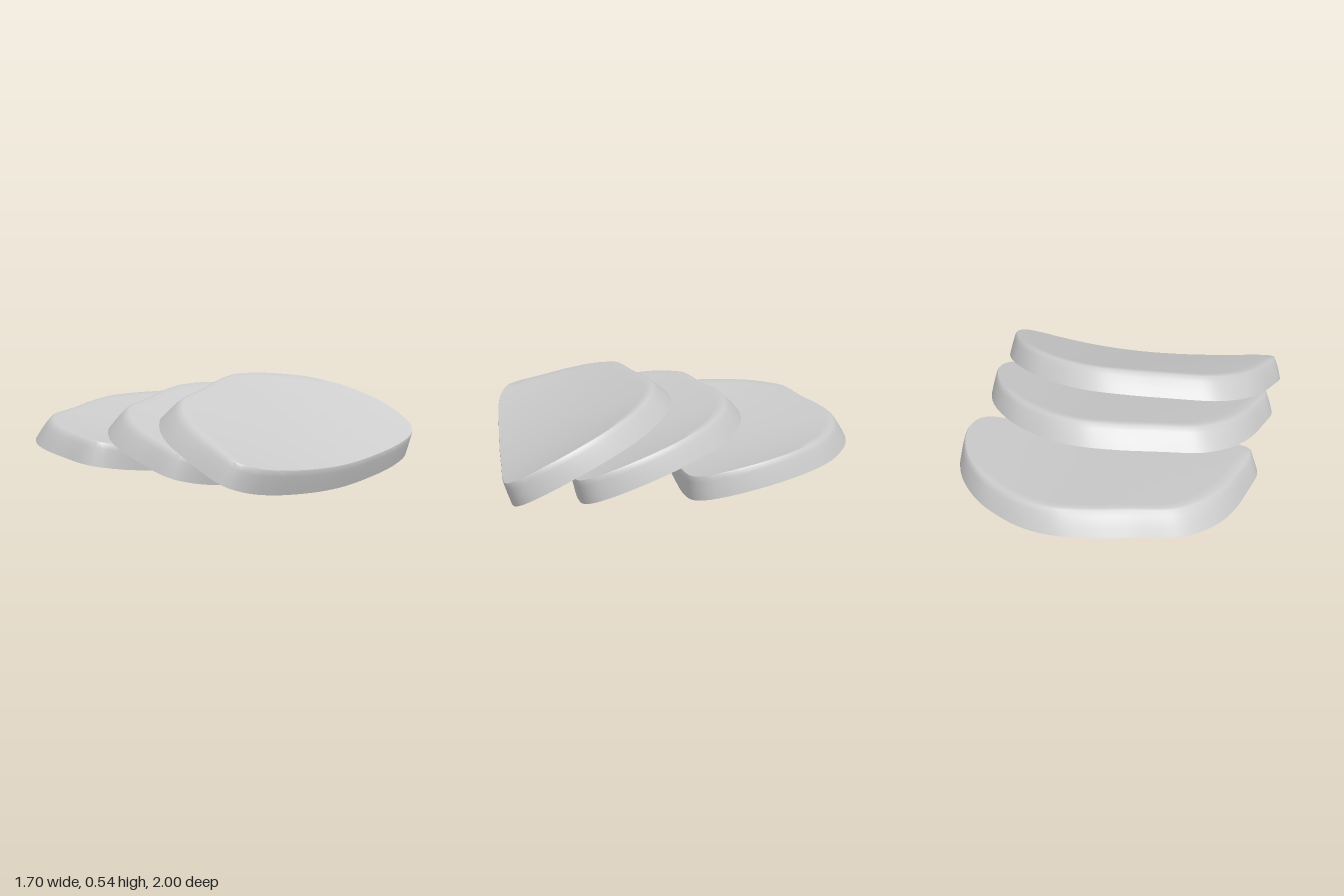
import * as THREE from 'three';
import { toCreasedNormals } from 'three/addons/utils/BufferGeometryUtils.js';

const SIDES = 112;
const THICK = 0.138;

// Slice outline seen flat: [x, distance back from the straight front edge]
const OUTLINE = [
  [0.12, 1.04], [0.3, 1.015], [0.46, 0.945], [0.6, 0.85], [0.74, 0.68], [0.82, 0.49],
  [0.845, 0.34], [0.84, 0.23], [0.81, 0.135], [0.74, 0.07], [0.6, 0.035], [0.3, 0.012],
  [0, 0], [-0.35, 0.007], [-0.6, 0.022], [-0.74, 0.05], [-0.825, 0.1], [-0.85, 0.16],
  [-0.82, 0.36], [-0.78, 0.54], [-0.72, 0.68], [-0.63, 0.795], [-0.53, 0.87],
  [-0.3, 0.94], [-0.08, 1.01],
];

// Cross-section from bottom centre, round the rim, to top centre:
// [scale about the centre, share of the inset, share of the thickness]
const SECTION = [
  [0, 0, 0], [0.25, 0, 0], [0.5, 0, 0], [0.75, 0, 0], [0.92, 0, 0], [1, 0, 0],
  [1, 0.3, 0.38], [1, 0.65, 0.75], [1, 0.9, 0.95], [1, 1.1, 1],
  [0.92, 1.1, 1], [0.7, 1.1, 1], [0.45, 1.1, 1], [0.2, 1.1, 1], [0, 1.1, 1],
];

// Both ends cup upward: the left end flattens toward the back, the right does not
function lift(x, u) {
  const d = x - 0.12;
  return d < 0
    ? 0.108 * (-d / 0.95) ** 1.8 * (1 - 1.05 * u)
    : 0.07 * (d / 0.72) ** 2.1 * (1 + 0.35 * u);
}

function sliceGeometry() {
  const curve = new THREE.CatmullRomCurve3(
    OUTLINE.map(([x, u]) => new THREE.Vector3(x, 0, -u)), true, 'centripetal');
  const positions = [];
  const index = [];
  for (const [scale, inset, height] of SECTION) {
    for (let i = 0; i < SIDES; i++) {
      const p = curve.getPointAt(i / SIDES);
      const t = curve.getTangentAt(i / SIDES);
      // the rim leans in more at the rounded back and on the left side
      const side = t.z < 0 ? 0.025 * (1 - p.z) : 0.012;
      const depth = inset * (0.02 - 0.038 * p.z - side * t.z);
      const x = (p.x - t.z * depth) * scale;
      const z = (p.z + t.x * depth + 0.45) * scale - 0.45;
      positions.push(x, height * THICK + lift(x, -z), z);
    }
  }
  const last = SECTION.length - 2;
  for (let j = 0; j <= last; j++) {
    for (let i = 0; i < SIDES; i++) {
      const next = (i + 1) % SIDES;
      const a = j * SIDES + i, b = j * SIDES + next;
      const c = b + SIDES, d = a + SIDES;
      if (j < last) index.push(a, d, c);
      if (j > 0) index.push(a, c, b);
    }
  }
  const geometry = new THREE.BufferGeometry();
  geometry.setAttribute('position', new THREE.Float32BufferAttribute(positions, 3));
  geometry.setIndex(index);
  return toCreasedNormals(geometry, 0.75);
}

export function createModel() {
  const model = new THREE.Group();
  model.name = 'overlappingSlices';
  const material = new THREE.MeshStandardMaterial({ color: 0xcccccc });
  const geometry = sliceGeometry();

  // Three equal slices, each leaning more steeply on the one behind
  const slices = [
    ['backSlice', 0.02, 10.5],
    ['middleSlice', 0.597, 18.8],
    ['frontSlice', 0.955, 25.3],
  ];
  for (const [name, z, tilt] of slices) {
    const slice = new THREE.Mesh(geometry, material);
    slice.name = name;
    slice.position.z = z;
    slice.rotation.x = THREE.MathUtils.degToRad(tilt);
    model.add(slice);
  }
  return model;
}
